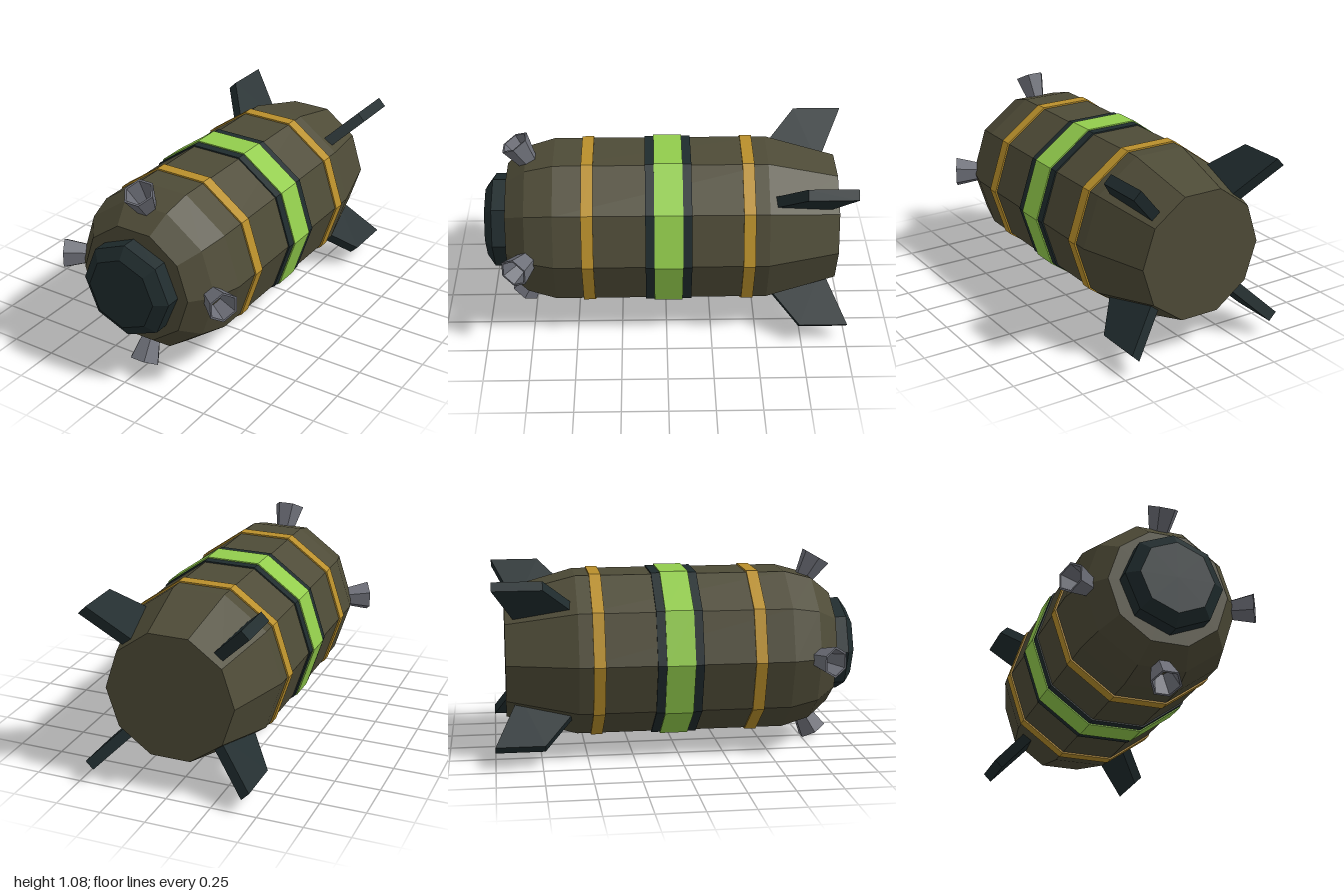
import * as THREE from 'three';

const mat = (name, color, side = THREE.FrontSide) =>
  new THREE.MeshStandardMaterial({ name, color, side, flatShading: true });

export function createModel() {
  const olive = mat('olive', 0x4e4b37);
  const dark = mat('darkSlate', 0x1f2b2d);
  const green = mat('limeGreen', 0x92cc4c);
  const gold = mat('gold', 0xb98f2b);
  const steel = mat('steel', 0x6d6f78, THREE.DoubleSide);

  const model = new THREE.Group();
  model.name = 'bomb';
  const core = new THREE.Group();
  core.name = 'core';
  core.position.y = 0.5425;
  model.add(core);

  const add = (name, geometry, material, parent = core) => {
    const mesh = new THREE.Mesh(geometry, material);
    mesh.name = name;
    parent.add(mesh);
    return mesh;
  };
  // Faceted solid turned around the z axis, profile given as [radius, z]
  const turned = (profile, sides) =>
    new THREE.LatheGeometry(profile.map(([r, z]) => new THREE.Vector2(r, z)), sides, Math.PI / 2)
      .rotateX(Math.PI / 2);

  // Ten-sided hull with a tapered tail and rounded nose
  add('hull', turned([
    [0, -0.935], [0.357, -0.935], [0.465, -0.55], [0.465, 0.61],
    [0.42, 0.765], [0.326, 0.875], [0, 0.875],
  ], 10), olive);

  // Eight-sided nose cap
  add('noseCap', turned([
    [0, 0.85], [0.265, 0.85], [0.265, 0.955], [0.2, 1], [0, 1],
  ], 8), dark);

  // Bands around the hull
  const band = (name, z, half, r, material) =>
    add(name, turned([[0.44, z - half], [r, z - half], [r, z + half], [0.44, z + half]], 10), material);
  band('darkBand', -0.01, 0.125, 0.473, dark);
  band('greenBand', -0.01, 0.077, 0.48, green);
  band('frontGoldBand', 0.426, 0.032, 0.474, gold);
  band('rearGoldBand', -0.442, 0.032, 0.474, gold);

  // Swept fin outline: x is the distance from the axis, y is the model's z
  const finShape = new THREE.Shape([
    [0.38, -0.543], [0.62, -0.735], [0.62, -1], [0.3, -0.865],
  ].map(([r, z]) => new THREE.Vector2(r, z)));
  const finGeometry = new THREE.ExtrudeGeometry(finShape, { depth: 0.06, bevelEnabled: false })
    .translate(0, 0, -0.03).rotateX(Math.PI / 2);

  // Hollow six-sided thruster, leaning forward
  const nozzleGeometry = new THREE.LatheGeometry([
    [0.054, -0.01], [0.086, 0.125], [0.074, 0.125], [0.044, -0.01],
  ].map(([r, y]) => new THREE.Vector2(r, y)), 6, Math.PI / 2)
    .rotateX(Math.PI / 6).translate(0, 0.397, 0.757);

  for (let i = 0; i < 4; i++) {
    add('fin', finGeometry, dark).rotation.z = Math.PI / 4 + i * Math.PI / 2;
    add('thruster', nozzleGeometry, steel).rotation.z = i * Math.PI / 2;
  }
  return model;
}
